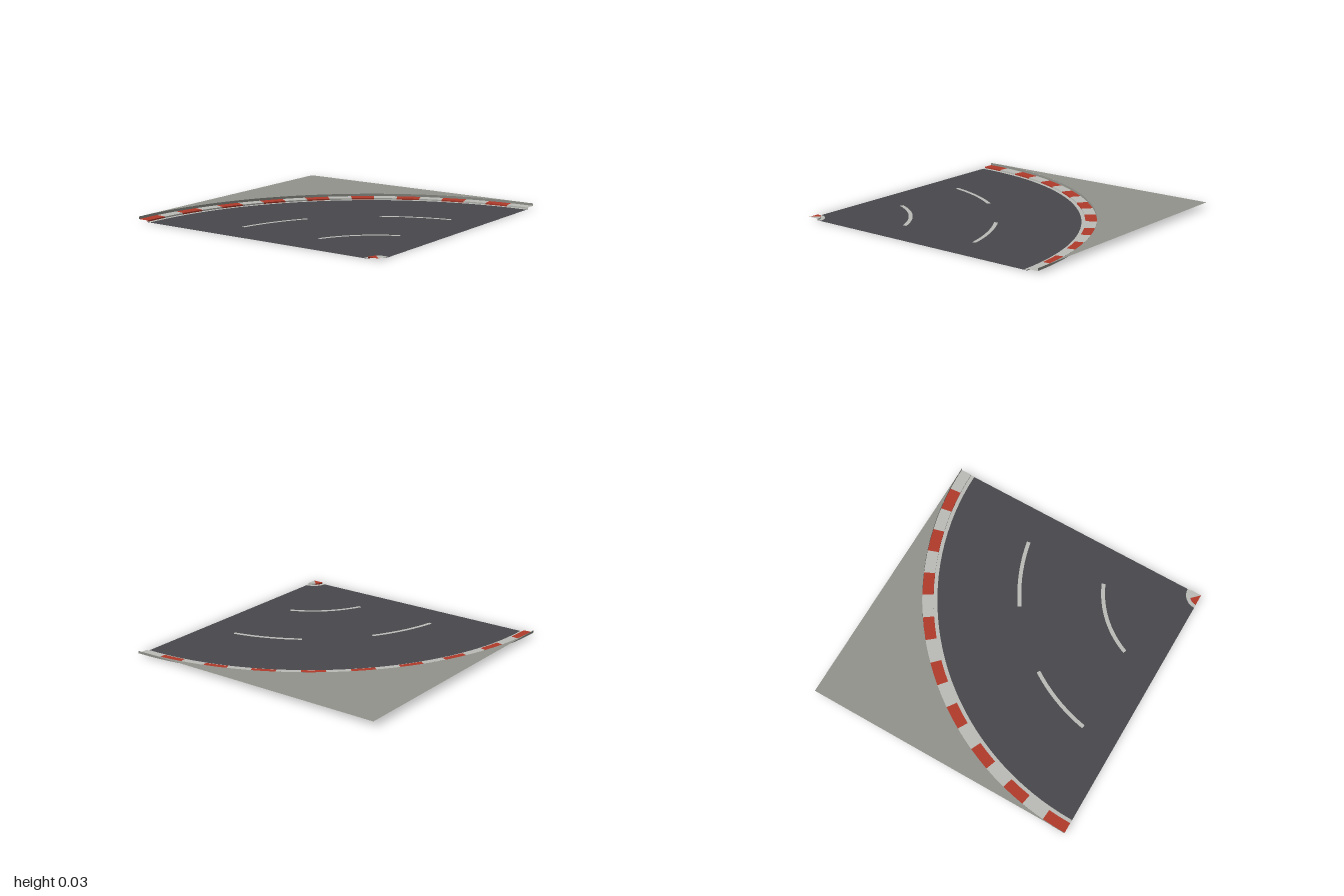
import * as THREE from 'three';

const paint = (name, color) => {
  const m = new THREE.MeshStandardMaterial({ color, side: THREE.DoubleSide });
  m.name = name;
  return m;
};

export function createModel() {
  const asphalt = paint('asphalt', 0x48474c);
  const white = paint('white paint', 0xbabcb6);
  const red = paint('red paint', 0xb03a2a);
  const concrete = paint('verge grey', 0x92938c);

  const KERB = 0.012, VERGE = 0.03, LINE = 0.002;
  const group = new THREE.Group();
  group.name = 'roadCorner';

  // The bend turns about the front left corner
  const bend = new THREE.Group();
  bend.name = 'bend';
  bend.position.set(1, 0, 1);
  group.add(bend);

  // Sweeps the straight strip from [r, y] to [r, y] between two angles in degrees
  function strip(name, material, from, to, a0 = 0, a1 = 90) {
    const points = [new THREE.Vector2(...from), new THREE.Vector2(...to)];
    const steps = Math.max(2, Math.round((a1 - a0) / 2.5));
    const geometry = new THREE.LatheGeometry(points, steps,
      THREE.MathUtils.degToRad(270 - a1), THREE.MathUtils.degToRad(a1 - a0));
    const mesh = new THREE.Mesh(geometry, material);
    mesh.name = name;
    bend.add(mesh);
  }

  // Road surface and its painted lines
  strip('road', asphalt, [1.92, 0], [0.08, 0]);
  strip('outerEdgeLine', white, [1.92, LINE], [1.893, LINE]);
  strip('innerEdgeLine', white, [0.107, LINE], [0.08, LINE]);
  for (const [r, a0, a1] of [[1.305, 11.25, 33.75], [1.305, 56.25, 78.75], [0.703, 22.5, 67.5]]) {
    strip('laneDash', white, [r + 0.014, LINE], [r - 0.014, LINE], a0, a1);
  }

  // Outer kerb: eighteen blocks in alternating colours
  for (let i = 0; i < 18; i++) {
    const material = i % 2 ? white : red;
    strip('outerKerbTop', material, [2, KERB], [1.92, KERB], i * 5, i * 5 + 5);
    strip('outerKerbFace', material, [1.92, KERB], [1.92, 0], i * 5, i * 5 + 5);
  }

  // Inner kerb: two blocks filling the corner
  [red, white].forEach((material, i) => {
    strip('innerKerbTop', material, [0.08, KERB], [0, KERB], i * 45, i * 45 + 45);
    strip('innerKerbFace', material, [0.08, 0], [0.08, KERB], i * 45, i * 45 + 45);
  });

  // Raised verge outside the bend
  strip('vergeFace', concrete, [2, VERGE], [2, KERB]);
  const outline = new THREE.Shape();
  outline.moveTo(-1, 1);
  outline.lineTo(-1, -1);
  outline.absarc(1, -1, 2, Math.PI, Math.PI / 2, true);
  const verge = new THREE.Mesh(new THREE.ShapeGeometry(outline, 36), concrete);
  verge.name = 'vergeTop';
  verge.rotation.x = -Math.PI / 2;
  verge.position.y = VERGE;
  group.add(verge);

  return group;
}
